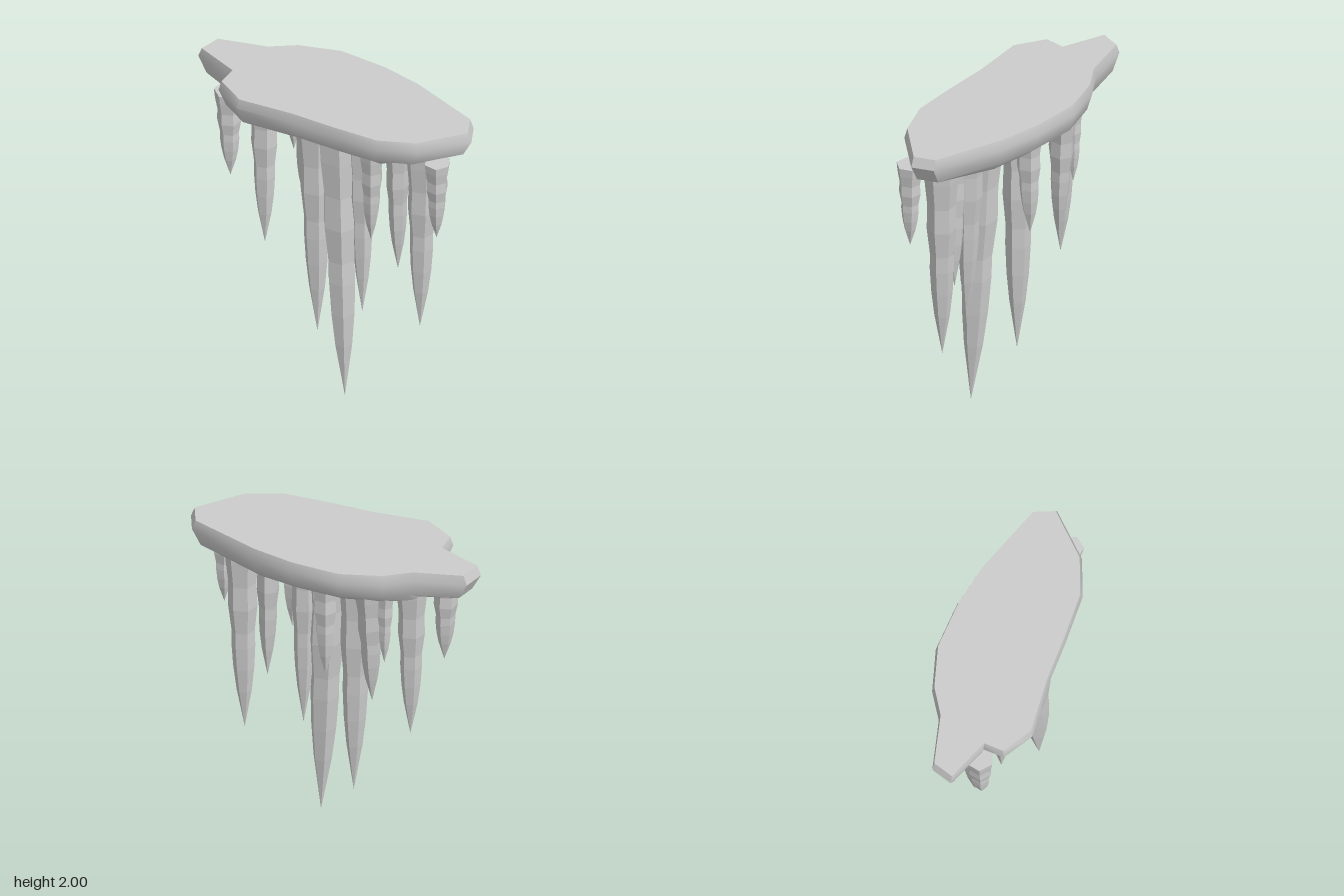
import * as THREE from 'three';
import { toCreasedNormals } from 'three/addons/utils/BufferGeometryUtils.js';

// slab outline seen from above, as [x, z]
const outline = [
  [-0.87, 0.008], [-0.83, -0.117], [-0.54, -0.185], [-0.39, -0.28], [-0.145, -0.348], [0.15, -0.328],
  [0.4, -0.272], [0.817, -0.115], [0.867, 0.008], [0.647, 0.238], [0.433, 0.32], [0.14, 0.325],
  [-0.12, 0.32], [-0.45, 0.343], [-0.622, 0.235], [-0.615, 0.112],
];

function slabGeometry() {
  // rings from the top face down to the sagging underside
  const rings = [
    outline.map(([x, z]) => [x * 0.975, 2, z * 0.965]),
    outline.map(([x, z]) => [x, 1.94, z]),
    outline.map(([x, z]) => [x * 0.94, 1.838, z * 0.93]),
    outline.map(([x, z]) => [THREE.MathUtils.clamp(x * 0.94, -0.54, 0.48), 1.777, z * 0.72]),
  ];
  const n = outline.length;
  const index = [];
  for (let k = 0; k < rings.length - 1; k++) {
    for (let i = 0; i < n; i++) {
      const a = k * n + i, b = k * n + (i + 1) % n;
      index.push(a, b, a + n, b, b + n, a + n);
    }
  }
  // top and bottom faces, wound to face up and down
  const faces = THREE.ShapeUtils.triangulateShape(outline.map(([x, z]) => new THREE.Vector2(x, z)), []);
  for (const [a, b, c] of faces) {
    const [p, q, r] = [outline[a], outline[b], outline[c]];
    const up = (q[1] - p[1]) * (r[0] - p[0]) - (q[0] - p[0]) * (r[1] - p[1]) > 0;
    const [u, v] = up ? [b, c] : [c, b];
    const base = n * (rings.length - 1);
    index.push(a, u, v, base + a, base + v, base + u);
  }
  const geometry = new THREE.BufferGeometry();
  geometry.setAttribute('position', new THREE.Float32BufferAttribute(rings.flat(2), 3));
  geometry.setIndex(index);
  return toCreasedNormals(geometry, 0.75);
}

// bumpy taper: [fraction of length from the top, fraction of radius]
const taper = [
  [1, 0], [0.8, 0.43], [0.68, 0.59], [0.56, 0.67], [0.48, 0.66], [0.35, 0.83], [0.23, 0.79], [0.1, 0.94], [0, 1],
];
const topY = 1.84;

function icicleGeometry(topX, topZ, tipX, tipY, tipZ, radius, turn) {
  const length = topY - tipY;
  const profile = taper.map(([t, r]) => new THREE.Vector2(r * radius, topY - t * length));
  profile.push(new THREE.Vector2(0, topY));
  const geometry = new THREE.LatheGeometry(profile, 6);
  geometry.rotateY(turn);
  // lean from the root to the tip
  const p = geometry.attributes.position;
  for (let i = 0; i < p.count; i++) {
    const t = (topY - p.getY(i)) / length;
    p.setX(i, p.getX(i) + THREE.MathUtils.lerp(topX, tipX, t));
    p.setZ(i, p.getZ(i) + THREE.MathUtils.lerp(topZ, tipZ, t));
  }
  return geometry;
}

// root x, root z, tip x, tip y, tip z, radius, turn
const icicles = [
  [-0.633, 0.095, -0.617, 1.25, 0.1, 0.083, -0.2],
  [-0.463, -0.01, -0.45, 0.765, 0, 0.093, 0.7],
  [-0.36, -0.165, -0.355, 1.34, -0.17, 0.058, 1.4],
  [-0.265, -0.175, -0.27, 1.035, -0.135, 0.084, 2.1],
  [-0.12, 0.03, -0.1, 0.28, 0.03, 0.108, 2.8],
  [0.01, -0.14, 0.003, 1.16, -0.15, 0.085, 3.5],
  [0.08, 0.125, 0.145, 0, 0.165, 0.127, 1.57],
  [0.22, 0.1, 0.235, 0.6, 0.125, 0.087, 4.9],
  [0.34, 0.205, 0.33, 1.19, 0.2, 0.075, 5.6],
  [0.42, 0.05, 0.425, 0.925, 0.055, 0.078, 6.3],
  [0.573, 0.03, 0.555, 0.55, 0.037, 0.102, 7],
  [0.72, 0.14, 0.715, 1.305, 0.14, 0.077, 7.7],
];

export function createModel() {
  const group = new THREE.Group();
  group.name = 'hangingIcicles';

  // ice slab at the top
  const slab = new THREE.Mesh(slabGeometry(), new THREE.MeshStandardMaterial({ color: 0xcccccc }));
  slab.name = 'iceSlab';
  group.add(slab);

  // faceted icicles hanging below it
  const faceted = new THREE.MeshStandardMaterial({ color: 0xcccccc, flatShading: true });
  icicles.forEach((spec, i) => {
    const icicle = new THREE.Mesh(icicleGeometry(...spec), faceted);
    icicle.name = `icicle${i + 1}`;
    group.add(icicle);
  });
  return group;
}
